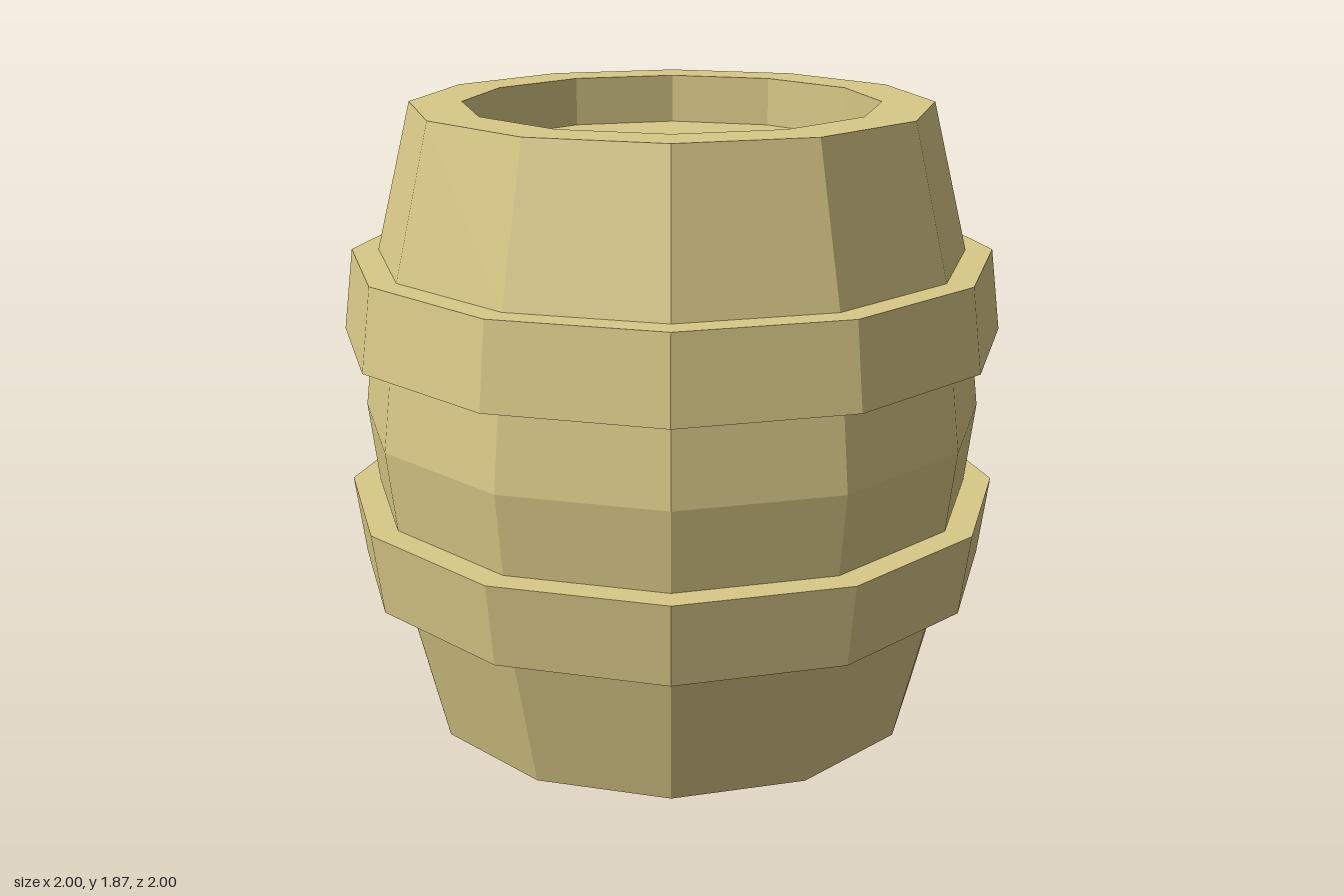
import * as THREE from 'three';

const SIDES = 12;
const HEIGHT = 1.87;

export function createModel() {
  const barrel = new THREE.Group();
  barrel.name = 'barrel';
  const wood = new THREE.MeshStandardMaterial({ color: 0xd8c886, flatShading: true });

  // Turns a [radius, height] profile, listed from bottom to top, into a 12-sided part
  const turn = (name, profile) => {
    const points = profile.map(([r, y]) => new THREE.Vector2(r, y));
    const mesh = new THREE.Mesh(new THREE.LatheGeometry(points, SIDES), wood);
    mesh.name = name;
    barrel.add(mesh);
  };
  // Mirrors a profile about mid height, keeping the bottom-to-top order
  const flip = (profile) => profile.map(([r, y]) => [r, HEIGHT - y]).reverse();

  // Bulging body with a recessed lid at each end
  const lowerHalf = [[0, 0.15], [0.62, 0.15], [0.62, 0], [0.777, 0], [0.887, 0.445]];
  turn('body', [...lowerHalf, [0.945, HEIGHT / 2], ...flip(lowerHalf)]);

  // Two raised hoops, each wider towards the middle of the barrel
  const hoop = [[0.885, 0.445], [0.968, 0.445], [1, 0.692], [0.912, 0.692]];
  turn('lowerHoop', hoop);
  turn('upperHoop', flip(hoop));

  return barrel;
}
